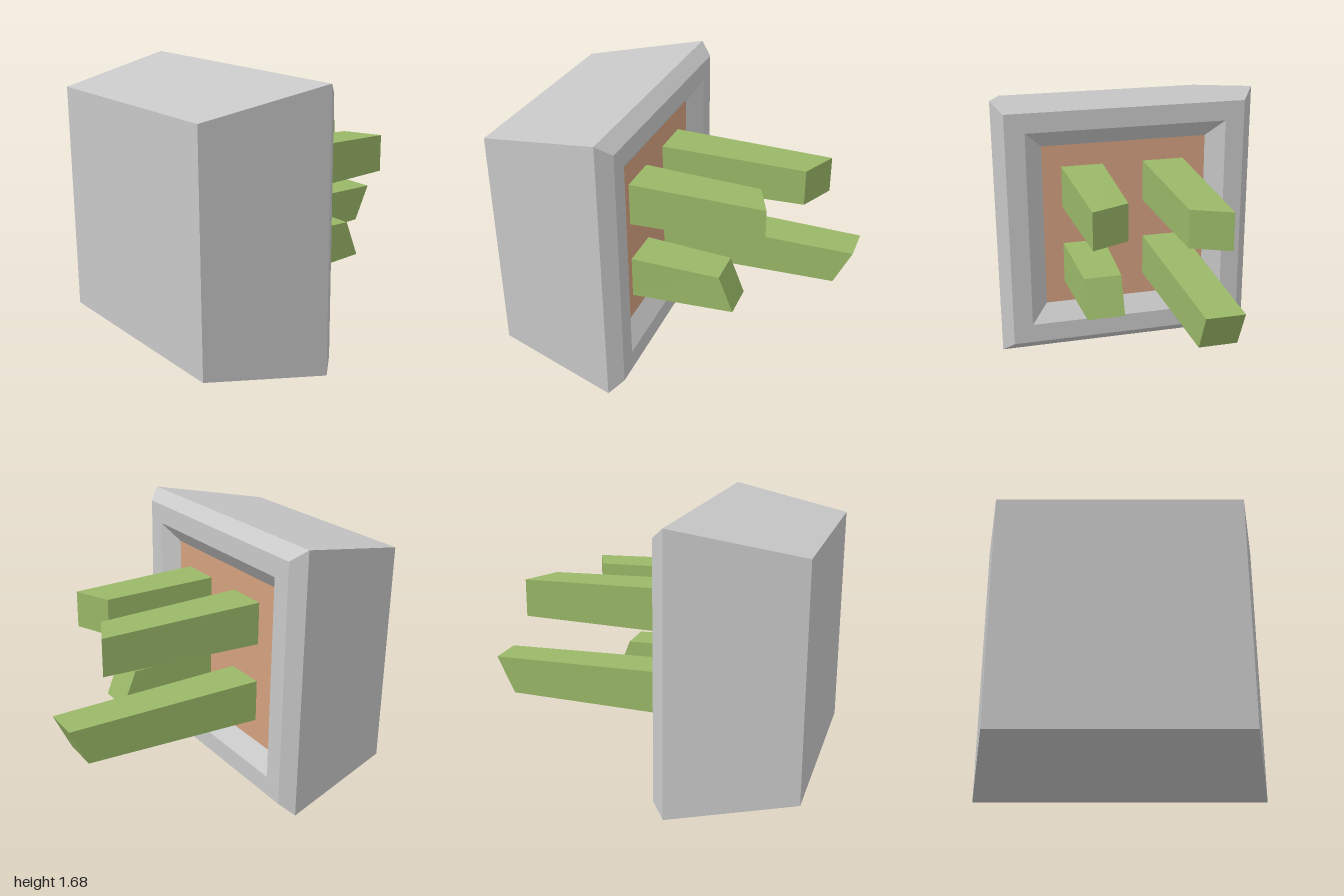
import * as THREE from 'three';

const material = (name, color) => {
  const m = new THREE.MeshStandardMaterial({ color });
  m.name = name;
  return m;
};

const CENTER_Y = 0.84;
const SOIL_Z = 0.25;

// Tapered square stem running towards -z, with a slanted cut at its tip.
function stemGeometry({ x, y, tip, slantX = 0, slantY = 0 }) {
  const geo = new THREE.BoxGeometry(2, 2, 2);
  const pos = geo.attributes.position;
  for (let i = 0; i < pos.count; i++) {
    const sx = pos.getX(i), sy = pos.getY(i), base = pos.getZ(i) > 0;
    const half = base ? 0.134 : 0.115;
    const z = base ? SOIL_Z : tip + sx * slantX + sy * slantY;
    pos.setXYZ(i, x + sx * half, y + sy * half, z);
  }
  geo.computeVertexNormals();
  return geo;
}

export function createModel() {
  const potGray = material('potGray', 0xc8c8c8);
  const stemGreen = material('stemGreen', 0x9ab868);
  const soilBrown = material('soilBrown', 0xd4a17f);

  const group = new THREE.Group();
  group.name = 'tippedPlanter';
  const add = (name, geo, mat) => {
    const mesh = new THREE.Mesh(geo, mat);
    mesh.name = name;
    group.add(mesh);
    return mesh;
  };

  // Square pot: half width and z, from its flat base round the rim to the soil
  const profile = [
    [0, 1], [0.7, 1], [0.84, 0.245], [0.77, 0.165], [0.645, 0.165], [0.535, SOIL_Z],
  ].map(([half, z]) => new THREE.Vector2(half * Math.SQRT2, -z));
  const potGeo = new THREE.LatheGeometry(profile, 4, Math.PI / 4)
    .rotateX(-Math.PI / 2)
    .toNonIndexed();
  potGeo.computeVertexNormals();
  add('pot', potGeo, potGray).position.y = CENTER_Y;

  // Soil facing backwards inside the rim
  const soil = add('soil', new THREE.PlaneGeometry(1.07, 1.07).rotateY(Math.PI), soilBrown);
  soil.position.set(0, CENTER_Y, SOIL_Z);

  // Four cut stems
  const stems = {
    upperRightStem: { x: -0.253, y: 1.1, tip: -0.725, slantX: 0.053 },
    upperLeftStem: { x: 0.278, y: 1.1, tip: -0.53, slantX: -0.05 },
    lowerRightStem: { x: -0.253, y: 0.583, tip: -0.945, slantY: -0.055 },
    lowerLeftStem: { x: 0.278, y: 0.583, tip: -0.35, slantY: 0.045 },
  };
  for (const [name, spec] of Object.entries(stems)) add(name, stemGeometry(spec), stemGreen);

  return group;
}
